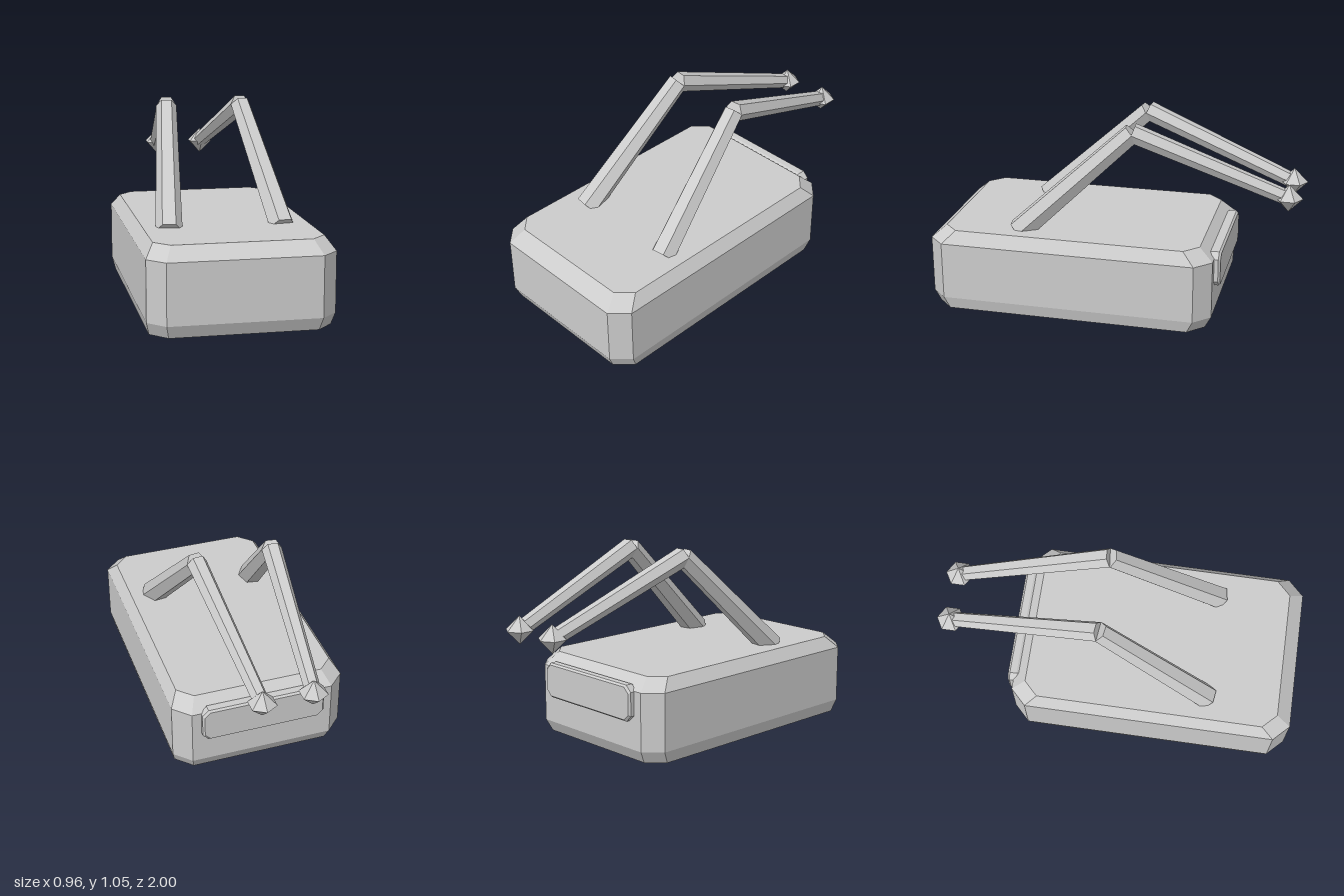
import * as THREE from 'three';

const grey = new THREE.MeshStandardMaterial({ color: 0xcccccc, flatShading: true });
grey.name = 'lightGrey';

// Rectangle with cut corners, as points [x, z]
function cutRect(x, z0, z1, c) {
  return [
    [x, z0 + c], [x, z1 - c], [x - c, z1], [c - x, z1],
    [-x, z1 - c], [-x, z0 + c], [c - x, z0], [x - c, z0],
  ];
}

// Closed solid through cut rectangles stacked in y: [y, halfX, z0, z1, corner]
function loft(sections) {
  const rings = sections.map(([y, x, z0, z1, c]) =>
    cutRect(x, z0, z1, c).map(([px, pz]) => [px, y, pz]));
  const pos = [];
  const tri = (a, b, c) => pos.push(...a, ...b, ...c);
  const n = rings[0].length;
  for (let i = 0; i < rings.length - 1; i++) {
    for (let j = 0; j < n; j++) {
      const k = (j + 1) % n;
      const lo = rings[i], hi = rings[i + 1];
      tri(lo[j], hi[j], lo[k]);
      tri(lo[k], hi[j], hi[k]);
    }
  }
  const first = rings[0], last = rings[rings.length - 1];
  for (let j = 1; j < n - 1; j++) {
    tri(first[0], first[j], first[j + 1]);
    tri(last[0], last[j + 1], last[j]);
  }
  const g = new THREE.BufferGeometry();
  g.setAttribute('position', new THREE.Float32BufferAttribute(pos, 3));
  g.computeVertexNormals();
  return g;
}

function addMesh(parent, name, geometry) {
  const m = new THREE.Mesh(geometry, grey);
  m.name = name;
  parent.add(m);
  return m;
}

// Tapered six-sided bar between two points, with a flat side on top
function bar(parent, name, from, to, r0, r1) {
  const dir = to.clone().sub(from);
  const g = new THREE.CylinderGeometry(r1, r0, dir.length(), 6, 1, false, Math.PI / 6);
  const y = dir.normalize();
  const x = new THREE.Vector3().crossVectors(y, new THREE.Vector3(0, 1, 0)).normalize();
  const z = new THREE.Vector3().crossVectors(x, y);
  const m = addMesh(parent, name, g);
  m.quaternion.setFromRotationMatrix(new THREE.Matrix4().makeBasis(x, y, z));
  m.position.copy(from).add(to).multiplyScalar(0.5);
}

export function createModel() {
  const model = new THREE.Group();
  model.name = 'boxWithFoldedArms';

  // Bevelled body
  addMesh(model, 'body', loft([
    [0, 0.464, -0.53, 0.97, 0.085],
    [0.068, 0.48, -0.565, 1.0, 0.087],
    [0.385, 0.48, -0.565, 1.0, 0.087],
    [0.453, 0.435, -0.49, 0.92, 0.077],
  ]));

  // Raised plate on the back
  const panel = loft([
    [0.53, 0.33, 0.23, 0.405, 0.03],
    [0.55, 0.342, 0.22, 0.415, 0.033],
    [0.587, 0.342, 0.22, 0.415, 0.033],
    [0.598, 0.332, 0.23, 0.405, 0.03],
  ]);
  panel.rotateX(-Math.PI / 2);
  addMesh(model, 'backPanel', panel);

  // Mirrored two-part arms with pointed tips
  for (const s of [1, -1]) {
    const arm = new THREE.Group();
    arm.name = s > 0 ? 'leftArm' : 'rightArm';
    model.add(arm);
    const root = new THREE.Vector3(0.3 * s, 0.432, 0.523);
    const elbow = new THREE.Vector3(0.21 * s, 1.008, -0.09);
    const tip = new THREE.Vector3(0.135 * s, 0.684, -0.922);
    bar(arm, 'lowerArm', root, elbow, 0.07, 0.056);
    bar(arm, 'upperArm', elbow, tip, 0.055, 0.042);
    const knob = addMesh(arm, 'armTip', new THREE.SphereGeometry(0.076, 6, 2));
    knob.rotation.y = Math.PI / 6;
    knob.position.copy(tip);
  }
  return model;
}
